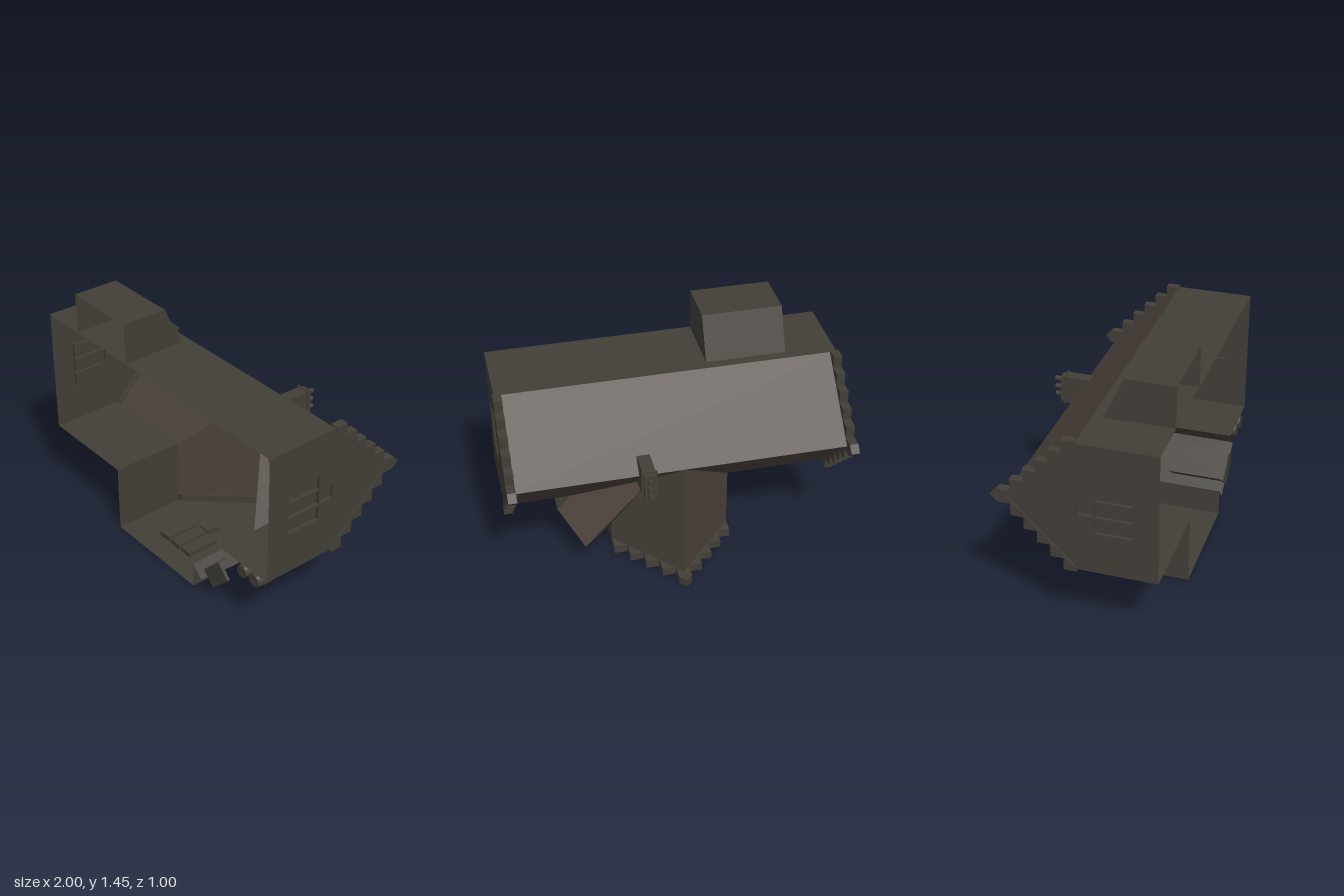
import * as THREE from 'three';

const make = (name, color) => {
  const m = new THREE.MeshStandardMaterial({ color });
  m.name = name;
  m.side = THREE.DoubleSide;
  return m;
};

export function createModel() {
  const wall = make('stone wall', 0x423e37);
  const roof = make('roof tile', 0x4b423b);
  const house = new THREE.Group();
  house.name = 'house';

  const add = (name, geo, mat = wall, parent = house) => {
    const m = new THREE.Mesh(geo, mat);
    m.name = name;
    parent.add(m);
    return m;
  };
  // Flat polygon(s), each a fan around its first corner
  const polys = (...list) => {
    const pos = [];
    for (const p of list)
      for (let i = 1; i < p.length - 1; i++) pos.push(...p[0], ...p[i], ...p[i + 1]);
    const g = new THREE.BufferGeometry();
    g.setAttribute('position', new THREE.Float32BufferAttribute(pos, 3));
    g.computeVertexNormals();
    return g;
  };
  const box = (name, x0, x1, y0, y1, z0, z1) =>
    add(name, new THREE.BoxGeometry(x1 - x0, y1 - y0, z1 - z0))
      .position.set((x0 + x1) / 2, (y0 + y1) / 2, (z0 + z1) / 2);

  // The house lies on its back: its base is at z = G and its ridge at z = R
  const G = 0.5, E = 0.05, R = -0.345, X = 0.99, W = 0.36;
  const y0 = 0.425, ym = 0.815, y1 = 1.205, yf = 0.005;
  const A = [0, ym, R];                              // wing ridge meets main ridge
  const P = [0.15, 0.652, -0.18], T = [0.555, 0.2125, -0.18]; // porch ridge
  const C1 = [0.43, 0.09, E], C2 = [0.68, 0.335, E]; // porch outer eaves
  const K1 = [W, 0.165, E], K2 = [0.6, y0, E];       // porch meets wing and main walls

  // Roofs, joined along their valleys
  add('mainRoofBack', polys([[-X, y1, E], [X, y1, E], [X, ym, R], [-X, ym, R]]), roof);
  add('mainRoofFront', polys(
    [[-X, y0, E], [-X, ym, R], A, [-W, y0, E]],
    [[X, ym, R], [X, y0, E], K2, P, A]), roof);
  add('wingRoof', polys(
    [[-W, yf, E], [-W, y0, E], A, [0, yf, R]],
    [[0, yf, R], A, P, K1, [W, yf, E]]), roof);
  add('porchRoof', polys([C1, T, P, K1], [C2, K2, P, T]), roof);

  // Upright walls between two eaves points, down to the base
  const side = (a, b) => [a, b, [b[0], b[1], G], [a[0], a[1], G]];
  add('mainWalls', polys(
    side([X, y1, E], [-X, y1, E]),
    side([-X, y0, E], [-W, y0, E]),
    side(K2, [X, y0, E])));
  add('wingWalls', polys(side([-W, y0, E], [-W, yf, E]), side([W, yf, E], K1)));
  add('porchWalls', polys(side(K1, C1), side(C2, K2)));

  // Rear bay with a sloping top
  const bay = (x) => [[x, y1, G], [x, 1.45, G], [x, 1.45, 0.22], [x, y1, 0.11]];
  const [bl, br] = [bay(-0.7), bay(-0.23)];
  add('rearBay', polys(bl, [...br].reverse(),
    [bl[1], br[1], br[2], bl[2]], [bl[2], br[2], br[3], bl[3]]));

  // Gable wall with recessed openings, in a local frame: v up the wall, z outward
  const rect = (u0, u1, v0, v1) => new THREE.Shape(
    [[u0, v0], [u1, v0], [u1, v1], [u0, v1]].map((p) => new THREE.Vector2(...p)));
  const windows = () => [
    rect(-0.142, -0.057, 0.14, 0.35), rect(-0.042, 0.04, 0.14, 0.35),
    rect(0.058, 0.14, 0.14, 0.35), rect(-0.042, 0.04, 0.36, 0.445)];

  const gable = (name, origin, out, half, peak, holes, depth) => {
    const g = new THREE.Group();
    g.name = name;
    const n = new THREE.Vector3(...out).normalize();
    const up = new THREE.Vector3(0, 0, -1);
    const u = new THREE.Vector3().crossVectors(up, n);
    g.quaternion.setFromRotationMatrix(new THREE.Matrix4().makeBasis(u, up, n));
    g.position.set(...origin);
    house.add(g);
    const s = new THREE.Shape();
    s.moveTo(-half, 0).lineTo(half, 0).lineTo(half, G - E).lineTo(0, G - peak).lineTo(-half, G - E);
    s.holes.push(...holes);
    add(name + 'Wall', new THREE.ShapeGeometry(s), wall, g);
    for (const h of holes) {
      const pts = h.getPoints(8);
      add('recessBack', new THREE.ShapeGeometry(h).translate(0, 0, -depth), wall, g);
      add('recessSides', polys(...pts.map((p, i) => {
        const q = pts[(i + 1) % pts.length];
        return [[p.x, p.y, 0], [p.x, p.y, -depth], [q.x, q.y, -depth], [q.x, q.y, 0]];
      })), wall, g);
    }
    return g;
  };

  // Stepped coping with a pointed top stone
  const coping = (g, half, steps) => {
    const w = (half - 0.04) / steps, h = 0.435 / (steps + 1);
    const right = [[half, 0.45]];
    for (let i = 0; i < steps; i++) {
      const v = 0.45 + h * (i + 1);
      right.push([half - w * i, v], [half - w * (i + 1), v]);
    }
    right.push([0.04, 0.885]);
    const left = right.map(([a, b]) => [-a, b]).reverse();
    const pts = [...right, [0, 0.925], ...left, [-half + 0.02, 0.45], [0, 0.83], [half - 0.02, 0.45]];
    const s = new THREE.Shape(pts.map((p) => new THREE.Vector2(...p)));
    add('steppedCoping', new THREE.ExtrudeGeometry(s, { depth: 0.05, bevelEnabled: false })
      .translate(0, 0, -0.04), wall, g);
  };

  for (const s of [-1, 1])
    coping(gable(s > 0 ? 'leftGable' : 'rightGable', [s * X, ym, G], [s, 0, 0],
      (y1 - y0) / 2, R, windows(), 0.02), 0.4, 5);
  const front = gable('wingGable', [0, yf, G], [0, -1, 0], W, R, windows(), 0.03);
  coping(front, 0.36, 4);
  front.children.at(-1).position.z = -0.005;

  // Porch end wall with an arched doorway and a step
  const door = new THREE.Shape();
  door.moveTo(-0.085, 0.003).lineTo(0.085, 0.003).lineTo(0.085, 0.33);
  door.absellipse(0, 0.33, 0.085, 0.06, 0, Math.PI, false);
  door.closePath();
  const porch = gable('porchGable', [T[0], T[1], G], [0.245, -0.25, 0], 0.175, T[2], [door], 0.05);
  add('doorStep', new THREE.BoxGeometry(0.18, 0.018, 0.11), wall, porch).position.set(0, 0.009, 0.01);

  // Chimney with a collar, a cap and three pots
  box('chimneyStack', 0.185, 0.26, 0.73, 0.9, -0.43, -0.27);
  box('chimneyCollar', 0.178, 0.268, 0.725, 0.905, -0.437, -0.425);
  box('chimneyCap', 0.19, 0.255, 0.735, 0.895, -0.46, -0.43);
  for (const y of [0.765, 0.815, 0.868]) {
    const pot = add('chimneyPot', new THREE.CylinderGeometry(0.015, 0.015, 0.05, 10));
    pot.rotation.x = -Math.PI / 2;
    pot.position.set(0.224, y, -0.475);
  }

  // Three stacked barrels
  const profile = [[0, 0], [0.038, 0], [0.045, 0.035], [0.047, 0.06], [0.045, 0.085], [0.038, 0.12], [0, 0.12]]
    .map((p) => new THREE.Vector2(...p));
  for (const [x, z] of [[0.782, G], [0.884, G], [0.832, 0.38]]) {
    const b = add('barrel', new THREE.LatheGeometry(profile, 14).toNonIndexed());
    b.geometry.computeVertexNormals();
    b.rotation.x = -Math.PI / 2;
    b.position.set(x, 0.37, z);
  }
  return house;
}
